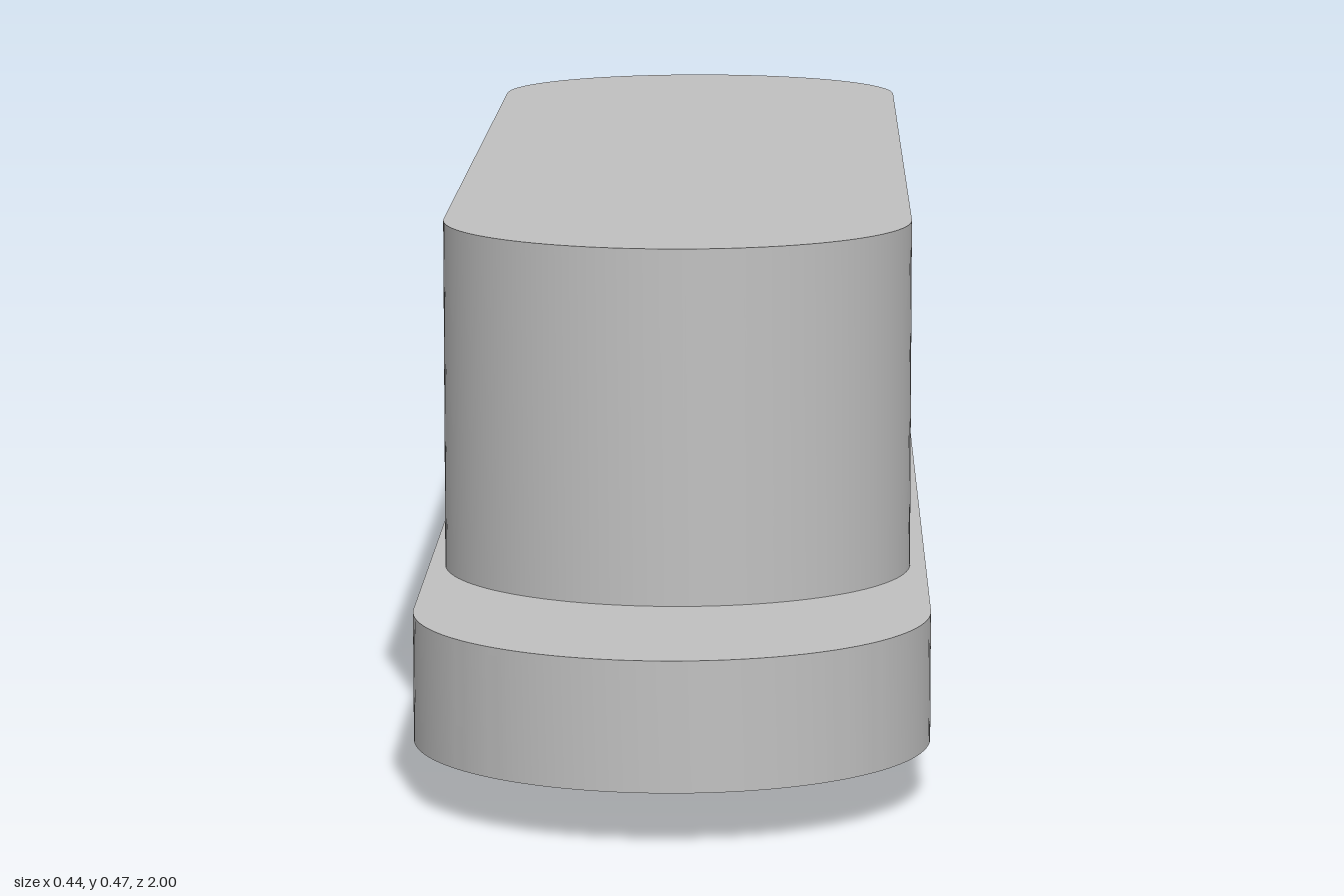
import * as THREE from 'three';
import { toCreasedNormals } from 'three/addons/utils/BufferGeometryUtils.js';

const grey = new THREE.MeshStandardMaterial({ color: 0xc0c0c0 });
grey.name = 'plain grey';

// Upright slab with semicircular ends, long axis along z
function roundEndedSlab(name, radius, halfLength, bottom, top) {
  const s = halfLength - radius;
  const outline = new THREE.Shape();
  outline.absarc(0, s, radius, 0, Math.PI, false);
  outline.absarc(0, -s, radius, Math.PI, Math.PI * 2, false);
  const extruded = new THREE.ExtrudeGeometry(outline, {
    depth: top - bottom, bevelEnabled: false, curveSegments: 32,
  });
  extruded.rotateX(-Math.PI / 2).translate(0, bottom, 0);
  const mesh = new THREE.Mesh(toCreasedNormals(extruded, Math.PI / 6), grey);
  mesh.name = name;
  return mesh;
}

export function createModel() {
  const model = new THREE.Group();
  model.name = 'roundEndedBlock';

  // Wide flange and the taller block standing on it
  model.add(roundEndedSlab('flange', 0.222, 1, 0.046, 0.157));
  model.add(roundEndedSlab('upperBlock', 0.208, 0.763, 0.157, 0.467));

  // Short round peg under the flange
  const peg = new THREE.Mesh(new THREE.CylinderGeometry(0.138, 0.138, 0.046, 64), grey);
  peg.name = 'peg';
  peg.position.y = 0.023;
  model.add(peg);

  return model;
}
